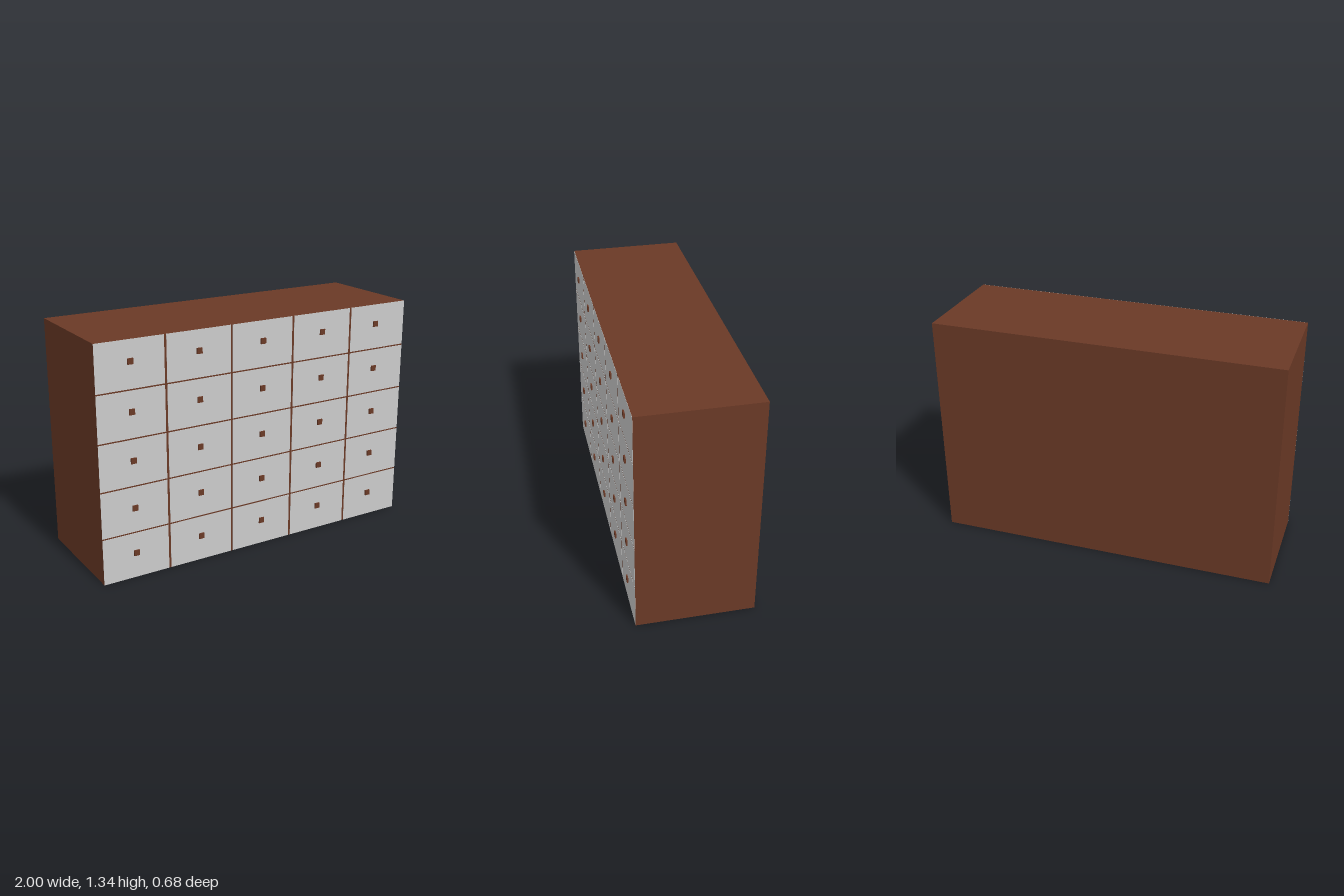
import * as THREE from 'three';

export function createModel() {
  const model = new THREE.Group();
  const wood = new THREE.MeshStandardMaterial({ color: 0x6a3926 });
  const grey = new THREE.MeshStandardMaterial({ color: 0xcccccc });

  const W = 2, H = 1.335, BACK = -0.337, FRONT = 0.33;
  const COLS = 5, ROWS = 5, GAP_X = 0.013, GAP_Y = 0.008, SKIN = 0.001;

  // Box given by its min and max corners
  function box(name, material, [x0, y0, z0], [x1, y1, z1], parent = model) {
    const mesh = new THREE.Mesh(new THREE.BoxGeometry(x1 - x0, y1 - y0, z1 - z0), material);
    mesh.position.set((x0 + x1) / 2, (y0 + y1) / 2, (z0 + z1) / 2);
    mesh.name = name;
    parent.add(mesh);
  }

  // Solid carcass, showing as thin lines between the drawers
  box('carcass', wood, [-W / 2, 0, BACK], [W / 2, H, FRONT - SKIN]);

  // Grid of drawers, each a front panel with a small square knob
  const knobX = [-0.803, -0.4, 0, 0.4, 0.785];
  const knobY = [0.146, 0.41, 0.68, 0.95, 1.22];
  const k = 0.016;
  for (let r = 0; r < ROWS; r++) {
    for (let c = 0; c < COLS; c++) {
      const drawer = new THREE.Group();
      drawer.name = `drawer_${r + 1}_${c + 1}`;
      // outer edges run flush with the carcass, inner edges leave half a gap
      const x0 = -W / 2 + (W * c) / COLS + (c > 0 ? GAP_X / 2 : 0);
      const x1 = -W / 2 + (W * (c + 1)) / COLS - (c < COLS - 1 ? GAP_X / 2 : 0);
      const y0 = (H * r) / ROWS + (r > 0 ? GAP_Y / 2 : 0);
      const y1 = (H * (r + 1)) / ROWS - (r < ROWS - 1 ? GAP_Y / 2 : 0);
      box('drawerFront', grey, [x0, y0, FRONT - SKIN], [x1, y1, FRONT], drawer);
      box('knob', wood, [knobX[c] - k, knobY[r] - k, FRONT - SKIN],
        [knobX[c] + k, knobY[r] + k, 0.338], drawer);
      model.add(drawer);
    }
  }
  return model;
}
